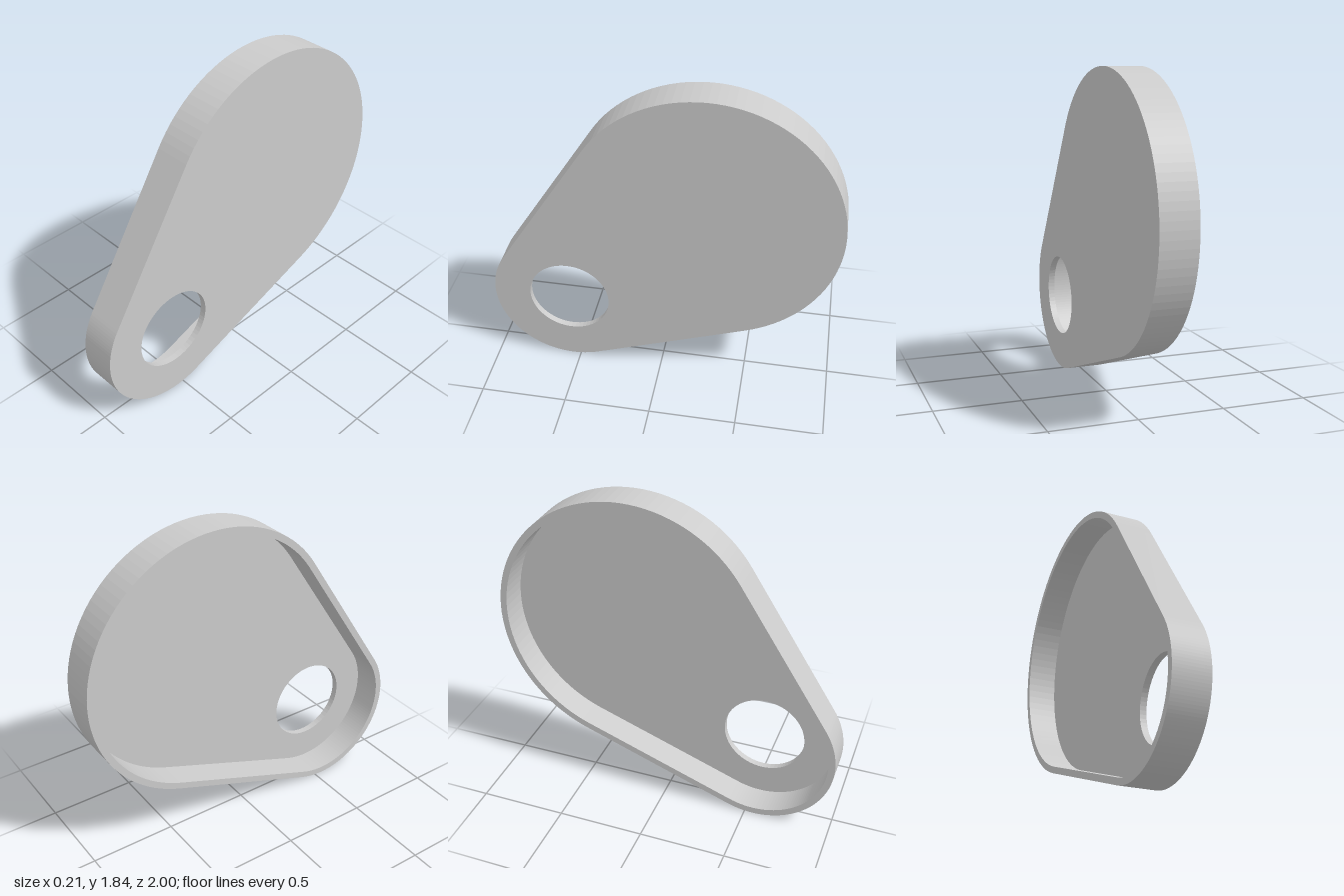
import * as THREE from 'three';

// Two circles joined by tangents; shape u runs towards the back (-z), v is up
const small = { u: -0.548, v: 0.453, r: 0.452 };
const big = { u: 0.23, v: 1.075, r: 0.77 };
const halfWidth = 0.104, wall = 0.038, floor = 0.038, holeRadius = 0.237;

// Teardrop outline, moved inwards by inset
function trace(path, inset = 0) {
  const du = big.u - small.u, dv = big.v - small.v;
  const axis = Math.atan2(dv, du);
  const spread = Math.acos((small.r - big.r) / Math.hypot(du, dv));
  path.absarc(big.u, big.v, big.r - inset, axis - spread, axis + spread, false);
  path.absarc(small.u, small.v, small.r - inset, axis + spread, axis - spread + Math.PI * 2, false);
  path.closePath();
  return path;
}

export function createModel() {
  const group = new THREE.Group();
  group.name = 'teardropCover';
  const material = new THREE.MeshStandardMaterial({ color: 0xcccccc, flatShading: true });

  // Extrudes a shape along x from x0 to x1
  const addPart = (name, shape, x0, x1) => {
    const geometry = new THREE.ExtrudeGeometry(shape, { depth: x1 - x0, bevelEnabled: false, curveSegments: 32 });
    geometry.translate(0, 0, x0).rotateY(Math.PI / 2);
    const mesh = new THREE.Mesh(geometry, material);
    mesh.name = name;
    group.add(mesh);
  };

  // Flat plate with the round hole, closing the +x side
  const plate = trace(new THREE.Shape());
  plate.holes.push(new THREE.Path().absarc(small.u, small.v, holeRadius, 0, Math.PI * 2, true));
  addPart('facePlate', plate, halfWidth - floor, halfWidth);

  // Thin rim wall, open on the -x side
  const rim = trace(new THREE.Shape());
  rim.holes.push(trace(new THREE.Path(), wall));
  addPart('rimWall', rim, -halfWidth, halfWidth - floor);

  return group;
}
